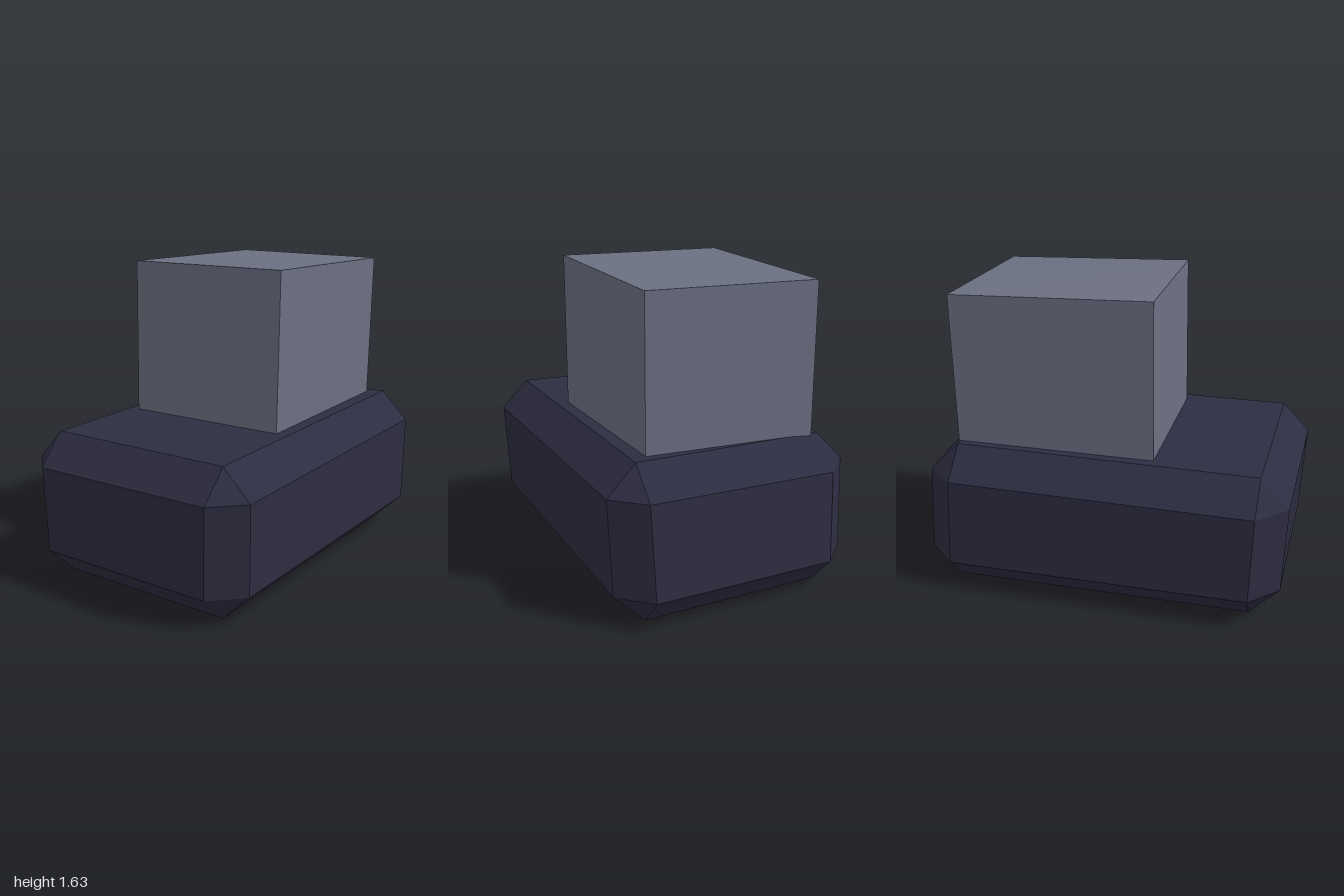
import * as THREE from 'three';
import { ConvexGeometry } from 'three/addons/geometries/ConvexGeometry.js';

const dark = new THREE.MeshStandardMaterial({ color: 0x2d2d42 });
dark.name = 'dark navy';
const grey = new THREE.MeshStandardMaterial({ color: 0x6b7082 });
grey.name = 'slate grey';

// Faceted solid from its corner points
function solid(name, points, material) {
  const geometry = new ConvexGeometry(points.map((p) => new THREE.Vector3(...p)));
  const mesh = new THREE.Mesh(geometry, material);
  mesh.name = name;
  return mesh;
}

// Each bevelled corner: flat cap [x, y, z], then the two ring points
// [inner x, outer z] and [outer x, inner z] at one height
function bevelCorner(cap, y, ix, oz, ox, iz) {
  return [cap, [ix, y, oz], [ox, y, iz]];
}

export function createModel() {
  const group = new THREE.Group();
  group.name = 'bootBlock';

  // Bevelled, slightly uneven base
  const base = [
    // lower corners
    ...bevelCorner([-0.51, 0, 0.80], 0.16, -0.52, 0.96, -0.675, 0.81),
    ...bevelCorner([0.49, 0, 0.81], 0.16, 0.50, 0.975, 0.655, 0.82),
    ...bevelCorner([-0.50, 0, -0.81], 0.16, -0.505, -0.965, -0.665, -0.80),
    ...bevelCorner([0.485, 0, -0.85], 0.16, 0.49, -1.0, 0.65, -0.85),
    // upper corners
    ...bevelCorner([-0.525, 0.785, 0.83], 0.625, -0.52, 0.98, -0.68, 0.825),
    ...bevelCorner([0.525, 0.795, 0.85], 0.64, 0.525, 1.0, 0.677, 0.847),
    ...bevelCorner([-0.515, 0.80, -0.775], 0.64, -0.51, -0.94, -0.668, -0.778),
    ...bevelCorner([0.515, 0.81, -0.82], 0.655, 0.51, -0.975, 0.668, -0.83),
  ];
  group.add(solid('base', base, dark));

  // Slightly tilted upper block, sunk a little into the base
  const block = [
    [-0.465, 0.77, 0.275], [0.455, 0.77, 0.28],
    [-0.472, 0.77, -0.785], [0.438, 0.77, -0.76],
    [-0.458, 1.622, 0.265], [0.462, 1.632, 0.265],
    [-0.465, 1.595, -0.803], [0.447, 1.602, -0.777],
  ];
  group.add(solid('upperBlock', block, grey));

  return group;
}
